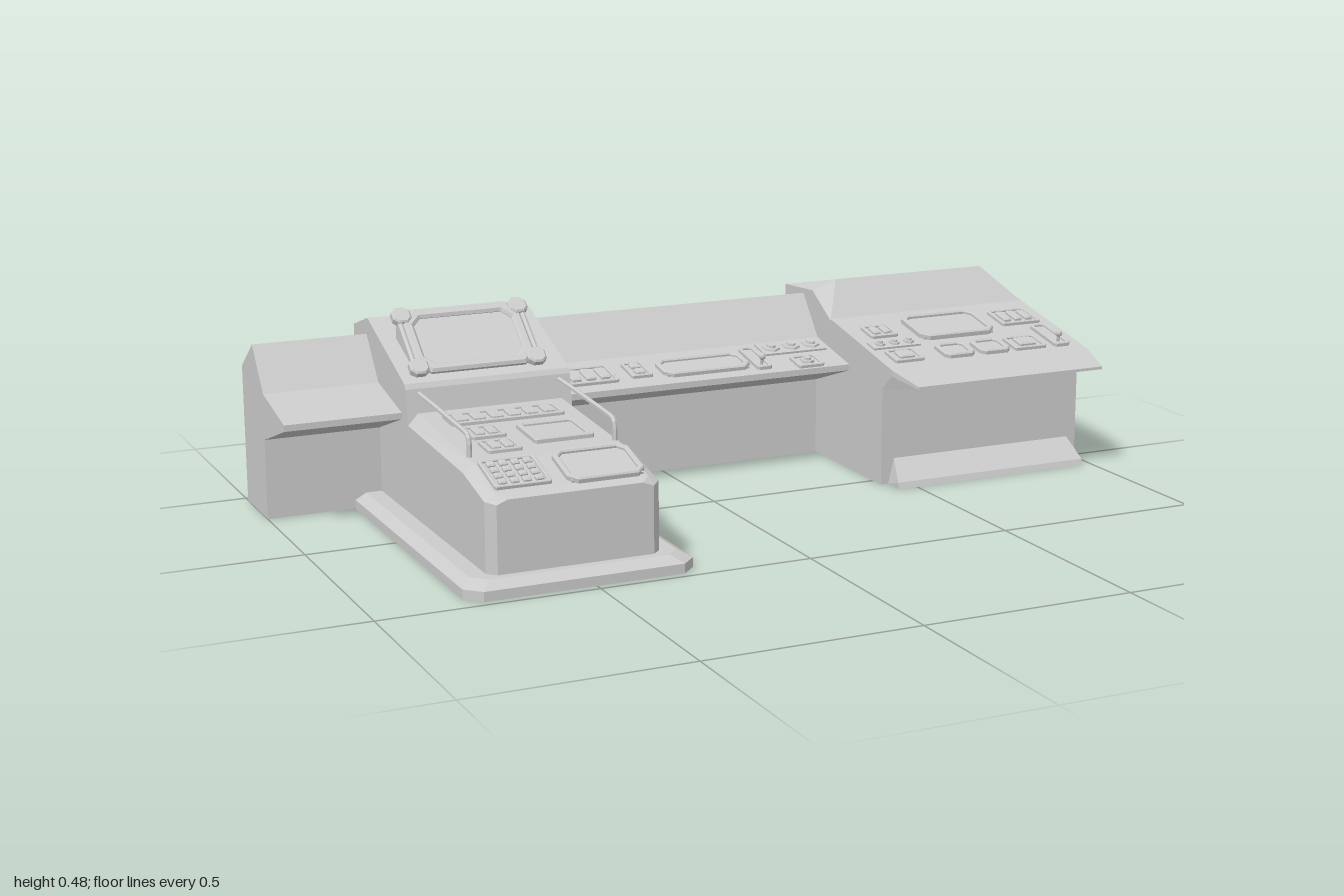
import * as THREE from 'three';
import { ConvexGeometry } from 'three/addons/geometries/ConvexGeometry.js';

const grey = new THREE.MeshStandardMaterial({ color: 0xcccccc, flatShading: true, side: THREE.DoubleSide });

function mesh(geo, name, parent) {
  const m = new THREE.Mesh(geo, grey);
  m.name = name;
  parent.add(m);
  return m;
}

// Joins rows of points into a sheet; each row is a list of [x, y, z]
function sheet(rows, capEnds) {
  const p = [];
  const tri = (a, b, c) => p.push(...a, ...b, ...c);
  for (let i = 0; i < rows.length - 1; i++)
    for (let j = 0; j < rows[i].length - 1; j++) {
      const a = rows[i][j], b = rows[i][j + 1], c = rows[i + 1][j + 1], d = rows[i + 1][j];
      tri(a, d, b); tri(b, d, c);
    }
  for (const [row, u, flip] of capEnds) {
    const flat = row.map(q => new THREE.Vector2(q[u], q[1]));
    for (const f of THREE.ShapeUtils.triangulateShape(flat, [])) {
      const [a, b, c] = f.map(k => row[k]);
      flip ? tri(a, c, b) : tri(a, b, c);
    }
  }
  const g = new THREE.BufferGeometry();
  g.setAttribute('position', new THREE.Float32BufferAttribute(p, 3));
  g.computeVertexNormals();
  return g;
}

// Shell with an open underside: [z, y] profile from the back foot to the front foot; splay widens the +x side at the back
function shell(profile, x0, x1, splay = 0) {
  const row = (x, k) => profile.map(([z, y]) => [x - z * k, y, z]);
  const a = row(x0, 0), b = row(x1, splay);
  return sheet([b, a], [[a, 2, false], [b, 2, true]]);
}

const hull = pts => new ConvexGeometry(pts.map(q => new THREE.Vector3(...q)));

// Rectangle with clipped corners
function clipped(w, d, c, Type = THREE.Shape) {
  const x = w / 2, y = d / 2;
  return new Type([[-x + c, -y], [x - c, -y], [x, -y + c], [x, y - c], [x - c, y], [-x + c, y], [-x, y - c], [-x, -y + c]]
    .map(q => new THREE.Vector2(...q)));
}

// Upward extrusion of a plan shape, with an optional sloped edge
function flatExtrude(shape, h, bevel = 0) {
  return new THREE.ExtrudeGeometry(shape, { depth: h - bevel, bevelEnabled: bevel > 0, bevelSegments: 1,
    bevelSize: bevel, bevelThickness: bevel, bevelOffset: -bevel }).rotateX(-Math.PI / 2);
}

// Sloping control surface; at(x, z) gives a local group standing on it
function deck(parent, name, zr, yr, zf, yf) {
  const g = new THREE.Group();
  g.name = name;
  g.position.set(0, yr, zr);
  g.rotation.x = Math.atan2(yr - yf, zf - zr);
  parent.add(g);
  return (x, z, part) => {
    const s = new THREE.Group();
    s.name = part;
    s.position.set(x, 0, (z - zr) / Math.cos(g.rotation.x));
    g.add(s);
    return s;
  };
}

function box(parent, name, w, h, d, x = 0, z = 0) {
  mesh(new THREE.BoxGeometry(w, h, d), name, parent).position.set(x, h / 2, z);
}

function screen(g, w, d, h = 0.012, c = 0.012, rim = 0.013) {
  const s = clipped(w, d, c);
  s.holes.push(clipped(w - 2 * rim, d - 2 * rim, c * 0.7, THREE.Path));
  mesh(flatExtrude(s, h, rim * 0.25), 'screenFrame', g);
  box(g, 'screenGlass', w - rim, h * 0.4, d - rim);
}

// Framed grid of raised keys
function keys(g, w, d, nx, nz, h = 0.009) {
  screen(g, w, d, h, 0.004, 0.008);
  const sx = (w - 0.018) / nx, sz = (d - 0.018) / nz;
  for (let i = 0; i < nx; i++)
    for (let j = 0; j < nz; j++) {
      const key = flatExtrude(clipped(sx * 0.65, sz * 0.75, 0.002), h * 1.3, 0.003);
      mesh(key, 'key', g).position.set((i + 0.5 - nx / 2) * sx, 0, (j + 0.5 - nz / 2) * sz);
    }
}

function dial(g, r) {
  mesh(new THREE.CylinderGeometry(r * 0.85, r, 0.01, 6), 'dialBase', g).position.y = 0.005;
  mesh(new THREE.CylinderGeometry(r * 0.45, r * 0.6, 0.016, 8), 'dialKnob', g).position.y = 0.008;
}

function lever(g, w, d) {
  screen(g, w, d, 0.01, 0.006, 0.008);
  const stem = mesh(new THREE.CylinderGeometry(0.004, 0.004, 0.024, 6), 'leverStem', g);
  stem.position.set(0, 0.012, d * 0.3);
  mesh(new THREE.SphereGeometry(0.009, 8, 6), 'leverKnob', g).position.set(0, 0.025, d * 0.3);
}

function rod(parent, name, pts, r) {
  const path = new THREE.CurvePath();
  const v = pts.map(q => new THREE.Vector3(...q));
  for (let i = 1; i < v.length; i++) path.add(new THREE.LineCurve3(v[i - 1], v[i]));
  mesh(new THREE.TubeGeometry(path, 32, r, 6), name, parent);
}

export function createModel() {
  const model = new THREE.Group();
  model.name = 'controlDesk';

  // Long wall desk: crest set forward of the lower back edge, overhanging ledge
  mesh(shell([[-0.48, 0], [-0.48, 0.33], [-0.38, 0.4], [-0.3, 0.3], [-0.13, 0.265], [-0.13, 0.25], [-0.305, 0.19], [-0.305, 0]],
    -1, 0.43), 'wallDesk', model);
  const wall = deck(model, 'wallControls', -0.3, 0.3, -0.13, 0.265);
  keys(wall(-0.235, -0.21, 'sliderBank'), 0.13, 0.09, 3, 1);
  keys(wall(-0.105, -0.215, 'buttonPair'), 0.055, 0.08, 1, 2);
  screen(wall(0.065, -0.205, 'wideScreen'), 0.23, 0.09, 0.012, 0.02);
  lever(wall(0.21, -0.21, 'throttle'), 0.04, 0.12);
  box(wall(0.33, -0.255, 'dialPlate'), 'plate', 0.17, 0.005, 0.065);
  for (const x of [0.275, 0.33, 0.385]) dial(wall(x, -0.255, 'dial'), 0.026);
  const single = wall(0.33, -0.165, 'singleDial');
  screen(single, 0.07, 0.06, 0.009, 0.004, 0.008);
  dial(single, 0.02);

  // Right block: body, overhanging top, hood and kick plate
  const block = new THREE.Group();
  block.name = 'sideStation';
  model.add(block);
  mesh(shell([[-0.48, 0], [-0.48, 0.405], [-0.23, 0.355], [0.04, 0.24], [0.04, 0]], 0.43, 0.986, 0.029), 'stationBody', block);
  const top = [];
  for (const [x0, x1, y, z] of [[0.43, 0.985, 0.36, -0.23], [0.43, 0.985, 0.295, 0.085], [0.45, 0.965, 0.272, 0.18],
    [0.45, 0.965, 0.265, 0.18], [0.43, 0.985, 0.28, 0.085], [0.43, 0.985, 0.24, 0.04], [0.43, 0.985, 0.345, -0.23]])
    top.push([x0, y, z], [x1, y, z]);
  mesh(hull(top), 'stationTop', block);
  mesh(hull([[0.43, 0.355, -0.23], [0.99, 0.355, -0.23], [0.48, 0.445, -0.3], [0.43, 0.415, -0.33], [0.9, 0.445, -0.3],
    [0.43, 0.405, -0.48], [1, 0.405, -0.48], [0.43, 0.33, -0.48], [0.993, 0.33, -0.23]]), 'stationHood', block);
  mesh(hull([[0.45, 0, 0.095], [0.975, 0, 0.095], [0.45, 0.015, 0.09], [0.975, 0.015, 0.09],
    [0.465, 0.063, 0.04], [0.96, 0.063, 0.04], [0.45, 0, 0.04], [0.975, 0, 0.04]]), 'kickPlate', block);
  const side = deck(block, 'stationControls', -0.23, 0.36, 0.085, 0.295);
  screen(side(0.7, -0.12, 'mainScreen'), 0.21, 0.135, 0.014, 0.02);
  keys(side(0.51, -0.125, 'buttonPair'), 0.075, 0.065, 2, 1);
  box(side(0.51, -0.05, 'dialPlate'), 'plate', 0.13, 0.005, 0.04);
  for (const x of [0.47, 0.51, 0.55]) dial(side(x, -0.05, 'dial'), 0.015);
  keys(side(0.5, 0.02, 'keyPad'), 0.08, 0.065, 1, 1);
  for (const x of [0.64, 0.74]) screen(side(x, 0.02, 'smallScreen'), 0.085, 0.075);
  keys(side(0.84, 0.02, 'keyBlock'), 0.09, 0.07, 1, 1);
  keys(side(0.9, -0.13, 'sliderBank'), 0.11, 0.085, 3, 1);
  lever(side(0.93, -0.005, 'throttle'), 0.045, 0.125);

  // Projecting console: cross-sections [z, half width, edge height, top height]
  const cx = -0.525;
  const station = new THREE.Group();
  station.name = 'projectingConsole';
  model.add(station);
  const rows = [[0.43, 0.18, 0.19, 0.2], [0.41, 0.2, 0.195, 0.208], [0.28, 0.2, 0.225, 0.245],
    [-0.09, 0.2, 0.245, 0.27], [-0.3, 0.2, 0.25, 0.275]].map(([z, w, e, t]) =>
    [[-w, 0], [-w, e], [0.025 - w, t], [w - 0.025, t], [w, e], [w, 0]].map(([x, y]) => [cx + x, y, z]));
  mesh(sheet(rows, [[rows[0], 0, false]]), 'consoleBody', station);

  // Foot plate around the console, with a sloped upper edge
  const plate = new THREE.Shape([[-0.265, 0.3], [-0.265, -0.445], [-0.23, -0.48], [0.23, -0.48], [0.265, -0.445], [0.265, 0.3]]
    .map(q => new THREE.Vector2(...q)));
  plate.holes.push(new THREE.Path([[-0.2, 0.299], [0.2, 0.299], [0.2, -0.41], [0.18, -0.43], [-0.18, -0.43], [-0.2, -0.41]]
    .map(q => new THREE.Vector2(...q))));
  mesh(flatExtrude(plate, 0.022), 'footPlate', station).position.x = cx;
  const slope = flatExtrude(plate, 0.015), pos = slope.attributes.position;
  for (let i = 0; i < pos.count; i++) {
    if (pos.getY(i) < 0.01) continue;
    if (Math.abs(pos.getX(i)) > 0.21) pos.setX(i, pos.getX(i) * 0.9);
    if (pos.getZ(i) > 0.435) pos.setZ(i, pos.getZ(i) - 0.03);
  }
  slope.computeVertexNormals();
  mesh(slope, 'footPlateBevel', station).position.set(cx, 0.022, 0);

  // Console hood and raised monitor
  mesh(shell([[-0.48, 0.3], [-0.48, 0.405], [-0.37, 0.44], [-0.105, 0.337], [-0.098, 0.325], [-0.085, 0.245], [-0.3, 0.245]],
    cx - 0.2, cx + 0.2), 'consoleHood', station);
  const mx = -0.535;
  mesh(hull([-1, 1].flatMap(s => [[mx + s * 0.15, 0.34, -0.13], [mx + s * 0.15, 0.46, -0.275], [mx + s * 0.12, 0.468, -0.29],
    [mx + s * 0.12, 0.425, -0.35], [mx + s * 0.15, 0.39, -0.28]])), 'monitorBody', station);
  const monitor = deck(station, 'monitor', -0.28, 0.465, -0.13, 0.345);
  screen(monitor(mx, -0.205, 'monitorScreen'), 0.29, 0.185, 0.013, 0.03, 0.025);
  for (const s of [-1, 1]) {
    rod(monitor(mx + s * 0.15, -0.205, 'monitorHandle'), 'handle', [[0, 0.006, -0.07], [0, 0.006, 0.07]], 0.007);
    for (const z of [-0.265, -0.145])
      mesh(flatExtrude(clipped(0.045, 0.045, 0.012), 0.018, 0.004), 'cornerLug', monitor(mx + s * 0.143, z, 'monitorCorner'));
  }

  // Console controls
  const rear = deck(station, 'rearControls', -0.09, 0.27, 0.28, 0.245);
  keys(rear(cx, -0.005, 'switchRow'), 0.27, 0.075, 6, 1);
  for (const z of [0.1, 0.2]) keys(rear(-0.61, z, 'buttonPair'), 0.08, 0.075, 2, 1);
  screen(rear(-0.46, 0.145, 'squareScreen'), 0.14, 0.125, 0.012, 0.004);
  const front = deck(station, 'frontControls', 0.28, 0.245, 0.41, 0.208);
  keys(front(-0.63, 0.34, 'keyPad'), 0.13, 0.115, 4, 4);
  screen(front(-0.44, 0.345, 'frontScreen'), 0.18, 0.13, 0.013, 0.02);

  // Grab rails along both sides
  for (const s of [-1, 1])
    rod(station, 'grabRail', [[cx + s * 0.17, 0.24, 0.24], [cx + s * 0.17, 0.285, 0.24], [cx + s * 0.17, 0.297, 0.228],
      [cx + s * 0.17, 0.31, 0.02], [cx + s * 0.17, 0.315, -0.09]], 0.006);

  return model;
}
